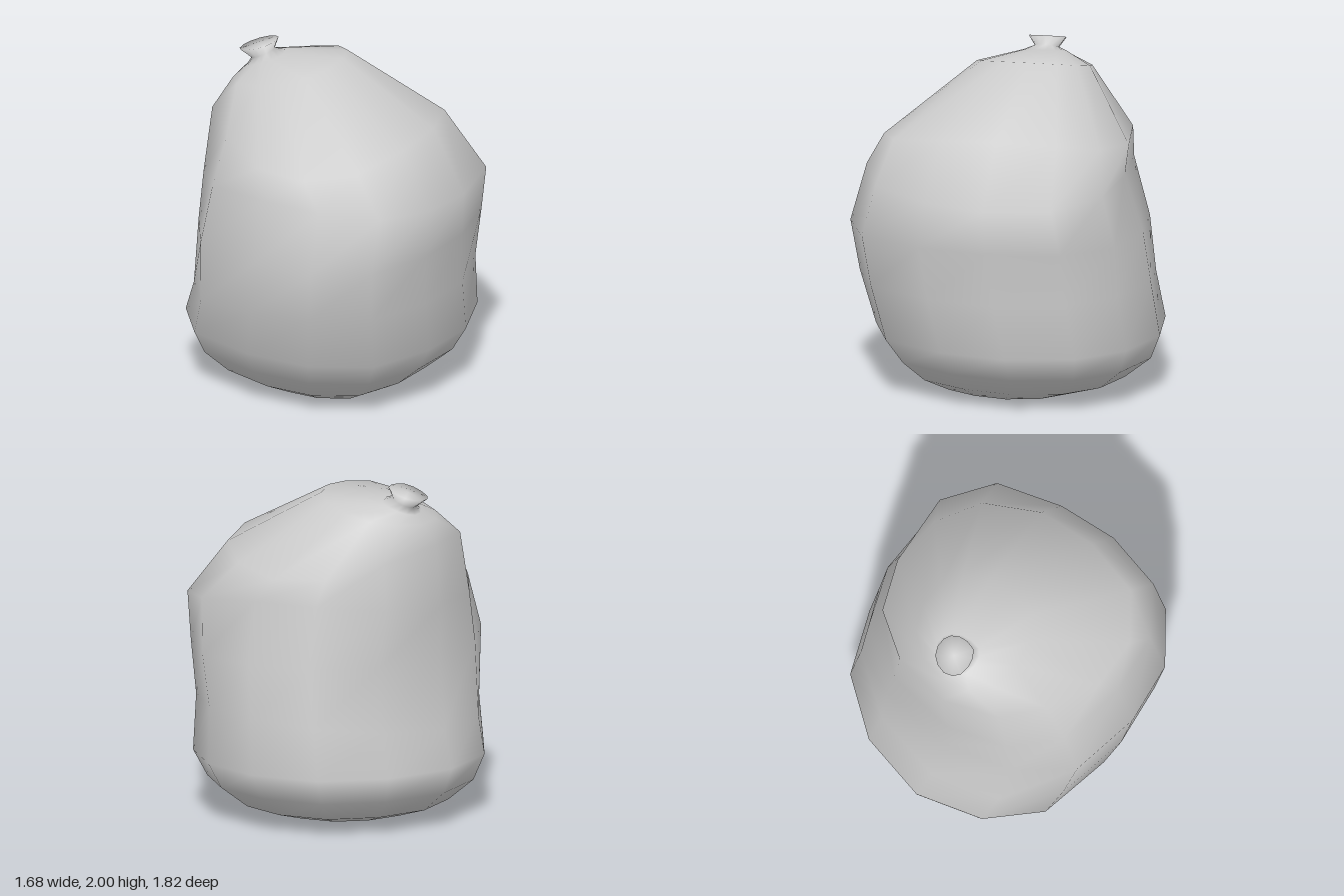
import * as THREE from 'three';

// Uneven 13-sided outline of the sack seen from above, as [x, z] within -1..1
const OUTLINE = [
  [1, -0.05], [0.9, 0.42], [0.65, 0.85], [0.21, 1], [-0.28, 0.93], [-0.78, 0.69], [-1, 0.3],
  [-1, -0.19], [-0.74, -0.65], [-0.33, -0.95], [0.17, -1], [0.61, -0.84], [0.9, -0.53],
];
const SIDES = OUTLINE.length;

// Cross-sections: [y at -x side, y in the middle, y at +x side, xMin, xMax, zMin, zMax,
//   fullness of the back corners, fullness of the front -x corner]
const SECTIONS = [
  // base and belly
  [0.00, 0.00, 0.00, -0.42, 0.38, -0.42, 0.38, 0, 0],
  [0.08, 0.08, 0.08, -0.64, 0.55, -0.69, 0.54, 0, 0],
  [0.21, 0.21, 0.21, -0.79, 0.71, -0.85, 0.67, 0, 0],
  [0.36, 0.36, 0.36, -0.84, 0.80, -0.91, 0.77, 0, 0],
  [0.57, 0.68, 0.68, -0.76, 0.805, -0.865, 0.86, 0, 0],
  [1.00, 1.00, 1.00, -0.70, 0.82, -0.82, 0.91, 0.05, 0.04],
  // shoulders, leaning towards the neck
  [1.30, 1.36, 1.26, -0.69, 0.835, -0.71, 0.81, 0.1, 0],
  [1.67, 1.50, 1.63, -0.685, 0.63, -0.72, 0.73, 0, -0.1],
  [1.79, 1.86, 1.95, -0.61, 0.03, -0.43, 0.24, 0, 0],
  // neck: flared foot, narrow waist, wide lip
  [1.84, 1.89, 1.92, -0.56, -0.35, -0.26, 0.00, 0, 0],
  [1.88, 1.91, 1.94, -0.54, -0.41, -0.20, -0.06, 0, 0],
  [1.93, 1.965, 2.00, -0.61, -0.39, -0.24, -0.02, 0, 0],
];

// Points of one section; the height follows a curve across x
function sectionPoints([yLeft, yMid, yRight, x0, x1, z0, z1, back, front]) {
  const tilt = (yRight - yLeft) / 2, bend = (yRight + yLeft) / 2 - yMid;
  return OUTLINE.map(([u, v]) => {
    const fullness = v < 0 ? back : u < 0 ? front : 0;
    const k = 1 + fullness * 4 * u * u * v * v;
    return [
      (x0 + x1) / 2 + k * u * (x1 - x0) / 2,
      yMid + u * tilt + u * u * bend,
      (z0 + z1) / 2 + k * v * (z1 - z0) / 2,
    ];
  });
}

// Smooth skin through all sections, closed at both ends
function loft(sections) {
  const pos = sections.flatMap(s => sectionPoints(s).flat());
  const index = [];
  const last = (sections.length - 1) * SIDES;
  const bottom = last + SIDES, top = bottom + 1;
  for (const [, y, , x0, x1, z0, z1] of [sections[0], sections[sections.length - 1]]) {
    pos.push((x0 + x1) / 2, y, (z0 + z1) / 2);
  }
  for (let i = 0; i < SIDES; i++) {
    const j = (i + 1) % SIDES;
    for (let r = 0; r < last; r += SIDES) {
      const a = r + i, b = r + j, c = a + SIDES, d = b + SIDES;
      index.push(a, c, b, b, c, d);
    }
    index.push(bottom, i, j, top, last + j, last + i);
  }
  const g = new THREE.BufferGeometry();
  g.setAttribute('position', new THREE.Float32BufferAttribute(pos, 3));
  g.setIndex(index);
  g.computeVertexNormals();
  return g;
}

export function createModel() {
  const group = new THREE.Group();

  // Sagging sack with its tied neck in one continuous skin
  const sack = new THREE.Mesh(loft(SECTIONS), new THREE.MeshStandardMaterial({ color: 0xcccccc }));
  sack.name = 'sackWithNeck';
  group.add(sack);

  return group;
}
